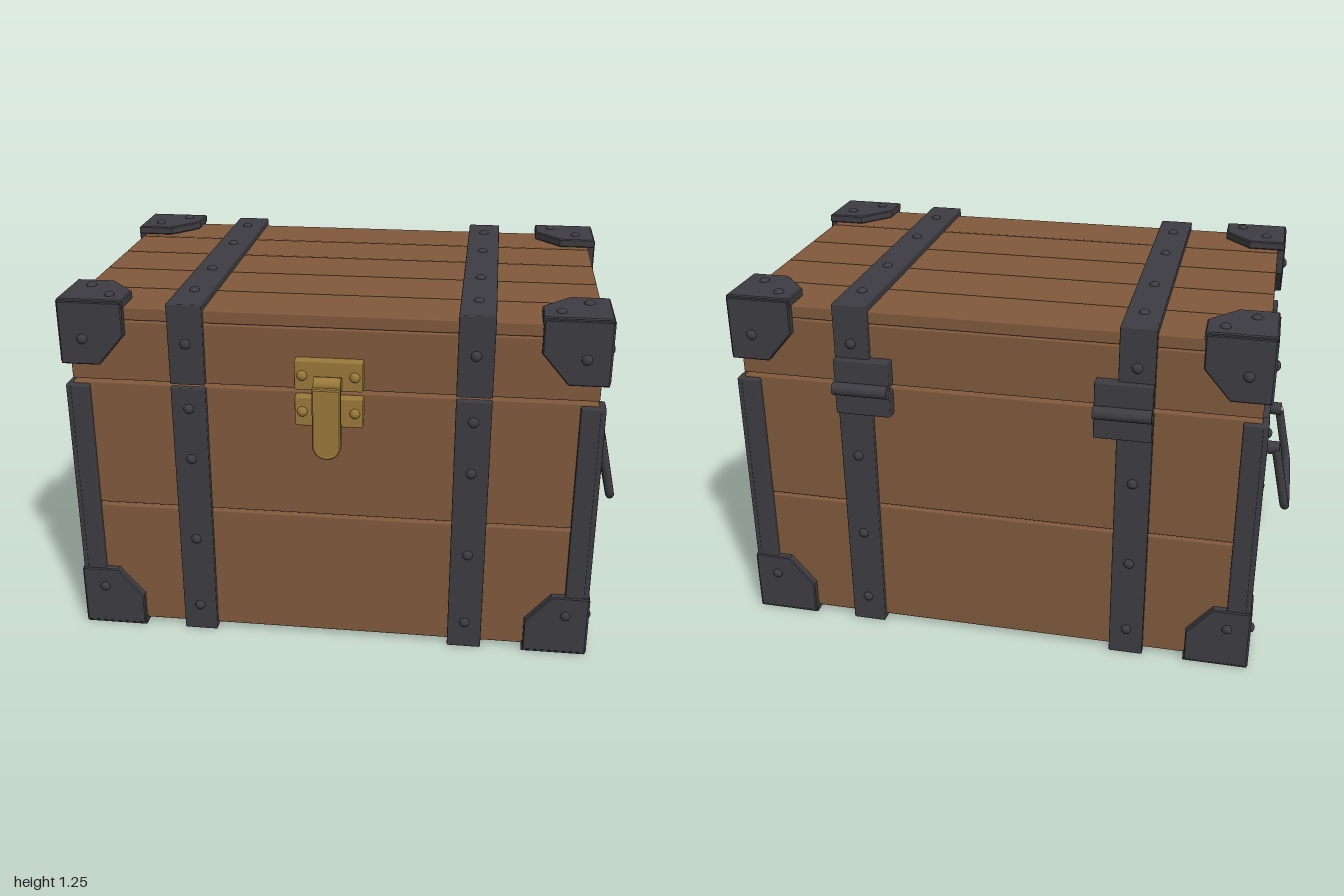
import * as THREE from 'three';
import { RoundedBoxGeometry } from 'three/addons/geometries/RoundedBoxGeometry.js';

const mat = (name, color) => Object.assign(new THREE.MeshStandardMaterial({ color }), { name });

export function createModel() {
  const wood = mat('brown wood', 0x80593b);
  const iron = mat('dark iron', 0x3d3c42);
  const brass = mat('brass', 0x9a793a);

  const model = new THREE.Group();
  model.name = 'chest';
  const chest = new THREE.Group();
  chest.name = 'chestBody';
  chest.position.z = -0.009;
  model.add(chest);

  const W = 0.875, D = 0.568;       // half width and half depth of the wooden box
  const SIDES = [-1, 1];

  function add(name, geometry, material, x = 0, y = 0, z = 0) {
    const mesh = new THREE.Mesh(geometry, material);
    mesh.name = name;
    mesh.position.set(x, y, z);
    chest.add(mesh);
    return mesh;
  }
  // box given by its limits, with slightly softened edges
  function box(name, material, x0, x1, y0, y1, z0, z1, r = 0.004) {
    const g = new RoundedBoxGeometry(x1 - x0, y1 - y0, z1 - z0, 1, r);
    return add(name, g, material, (x0 + x1) / 2, (y0 + y1) / 2, (z0 + z1) / 2);
  }
  // same, with one axis mirrored by a sign: pass [near, far] distances
  const span = (s, a, b) => (s > 0 ? [a, b] : [-b, -a]);

  // domed rivet pointing along a direction
  const dome = new THREE.SphereGeometry(0.018, 12, 5, 0, Math.PI * 2, 0, Math.PI / 2);
  dome.scale(1, 0.75, 1);
  const up = new THREE.Vector3(0, 1, 0);
  function rivet(x, y, z, dir, material = iron) {
    const m = add('rivet', dome, material, x, y, z);
    m.quaternion.setFromUnitVectors(up, new THREE.Vector3(...dir));
  }

  // wooden walls: two courses for the box, one for the lid
  for (const [y0, y1] of [[0.018, 0.477], [0.485, 0.941], [0.949, 1.159]]) {
    for (const s of SIDES) {
      box('longBoard', wood, -W, W, y0, y1, ...span(s, D - 0.04, D), 0.006);
      box('endBoard', wood, ...span(s, W - 0.04, W), y0, y1, -D + 0.04, D - 0.04, 0.006);
    }
  }
  box('floor', wood, -W + 0.01, W - 0.01, 0.012, 0.05, -D + 0.01, D - 0.01);

  // lid planks
  const pitch = (2 * D) / 5;
  for (let i = 0; i < 5; i++) {
    const z = -D + i * pitch;
    box('lidPlank', wood, -W, W, 1.161, 1.206, z + 0.002, z + pitch - 0.002, 0.005);
  }

  // iron straps around box and lid
  for (const s of SIDES) {
    const [x0, x1] = span(s, 0.415, 0.533);
    const xc = (x0 + x1) / 2;
    for (const f of SIDES) {
      box('strapBody', iron, x0, x1, 0.004, 0.939, ...span(f, D - 0.005, 0.588));
      box('strapLid', iron, x0, x1, 0.951, 1.23, ...span(f, D - 0.005, 0.588));
      for (const y of [0.1, 0.37, 0.68, 0.865, 1.095]) rivet(xc, y, f * 0.587, [0, 0, f]);
    }
    box('strapTop', iron, x0, x1, 1.2, 1.23, -0.588, 0.588);
    box('strapBottom', iron, x0, x1, 0.0, 0.02, -0.588, 0.588);
    for (const z of [-0.45, -0.18, 0.17, 0.43]) rivet(xc, 1.229, z, [0, 1, 0]);
  }

  // upright angle irons
  for (const sx of SIDES) for (const sz of SIDES) {
    box('cornerPostFront', iron, ...span(sx, 0.815, 0.88), 0.2, 0.933, ...span(sz, D - 0.01, 0.588), 0.006);
    box('cornerPostSide', iron, ...span(sx, W - 0.01, 0.896), 0.2, 0.933, ...span(sz, 0.512, 0.586), 0.006);
  }

  // plate with one cut corner; (u, v) is its outer corner, su and sv point outwards
  function cutPlate(u, v, su, sv, size) {
    const pts = [[0, 0], [size, 0], [size, 0.115], [0.13, size], [0, size]];
    const shape = new THREE.Shape(pts.map(([a, b]) => new THREE.Vector2(u - su * a, v - sv * b)));
    const g = new THREE.ExtrudeGeometry(shape, {
      depth: 0.022, bevelEnabled: true, bevelThickness: 0.004, bevelSize: 0.004, bevelOffset: -0.004, bevelSegments: 1,
    });
    return g.translate(0, 0, -0.011);
  }

  // corner brackets: three plates at each of the eight corners
  for (const sx of SIDES) for (const sy of SIDES) for (const sz of SIDES) {
    const y = sy > 0 ? 1.228 : 0.008;
    const ry = sy > 0 ? 1.095 : 0.14;
    add('bracketFront', cutPlate(sx * 0.898, y, sx, sy, 0.218), iron, 0, 0, sz * 0.578);
    const side = cutPlate(-sz * 0.59, y, -sz, sy, 0.212).rotateY(Math.PI / 2);
    add('bracketSide', side, iron, sx * 0.886, 0, 0);
    const flat = cutPlate(sx * 0.898, sz * 0.59, sx, sz, 0.222).rotateX(Math.PI / 2);
    add('bracketFlat', flat, iron, 0, sy > 0 ? 1.221 : 0.015, 0);
    rivet(sx * 0.82, ry + sy * -0.005 + 0.01, sz * 0.592, [0, 0, sz]);
    rivet(sx * 0.9, sy > 0 ? 1.112 : 0.12, sz * 0.513, [sx, 0, 0]);
    if (sy > 0) {
      rivet(sx * 0.827, 1.235, sz * 0.436, [0, 1, 0]);
      rivet(sx * 0.735, 1.235, sz * 0.533, [0, 1, 0]);
    }
  }

  // end handles: plate, lugs and a hanging bail
  for (const s of SIDES) {
    box('handlePlate', iron, ...span(s, W - 0.005, 0.9), 0.588, 0.755, -0.232, 0.232, 0.006);
    const at = (t, z) => new THREE.Vector3(s * (0.932 + 0.051 * t), 0.655 - 0.24 * t, z);
    const path = new THREE.CurvePath();
    const h = 0.183, r = 0.045, k = 1 - r / 0.245;
    path.add(new THREE.LineCurve3(at(0, -h + 0.03), at(0.06, -h)));
    path.add(new THREE.LineCurve3(at(0.06, -h), at(k, -h)));
    path.add(new THREE.QuadraticBezierCurve3(at(k, -h), at(1, -h), at(1, -h + r)));
    path.add(new THREE.LineCurve3(at(1, -h + r), at(1, h - r)));
    path.add(new THREE.QuadraticBezierCurve3(at(1, h - r), at(1, h), at(k, h)));
    path.add(new THREE.LineCurve3(at(k, h), at(0.06, h)));
    path.add(new THREE.LineCurve3(at(0.06, h), at(0, h - 0.03)));
    add('handleBail', new THREE.TubeGeometry(path, 90, 0.016, 10), iron);
    for (const f of SIDES) {
      const lug = new THREE.CylinderGeometry(0.024, 0.024, 0.05, 14).rotateZ(Math.PI / 2);
      add('handleLug', lug, iron, s * 0.918, 0.65, f * 0.165);
      rivet(s * 0.899, 0.718, f * 0.19, [s, 0, 0]);
    }
  }

  // back hinges
  for (const s of SIDES) {
    const [x0, x1] = span(s, 0.342, 0.532);
    box('hingeLeafLower', iron, x0, x1, 0.848, 0.938, -0.611, -0.565);
    box('hingeLeafUpper', iron, x0, x1, 0.952, 1.044, -0.611, -0.565);
    const barrel = new THREE.CylinderGeometry(0.022, 0.022, 0.19, 16).rotateZ(Math.PI / 2);
    add('hingeBarrel', barrel, iron, (x0 + x1) / 2, 0.946, -0.623);
  }

  // brass latch: two plates, barrel, hanging hasp and staple
  for (const [y0, y1] of [[0.957, 1.061], [0.83, 0.934]]) {
    box('latchPlate', brass, -0.113, 0.113, y0, y1, D - 0.005, 0.602, 0.006);
    for (const s of SIDES) rivet(s * 0.087, (y0 + y1) / 2, 0.601, [0, 0, 1], brass);
  }
  const barrel = new THREE.CylinderGeometry(0.024, 0.024, 0.09, 16).rotateZ(Math.PI / 2);
  add('latchBarrel', barrel, brass, 0, 0.988, 0.618);
  const hasp = new THREE.Shape();
  hasp.moveTo(-0.043, 0.98).lineTo(-0.043, 0.783);
  hasp.absarc(0, 0.783, 0.043, Math.PI, Math.PI * 2, false);
  hasp.lineTo(0.043, 0.98).closePath();
  const haspGeometry = new THREE.ExtrudeGeometry(hasp, {
    depth: 0.018, bevelThickness: 0.004, bevelSize: 0.004, bevelSegments: 1, curveSegments: 16,
  });
  add('latchHasp', haspGeometry, brass, 0, 0, 0.638);
  box('latchStaple', brass, -0.015, 0.015, 0.86, 0.905, 0.595, 0.645);

  return model;
}
